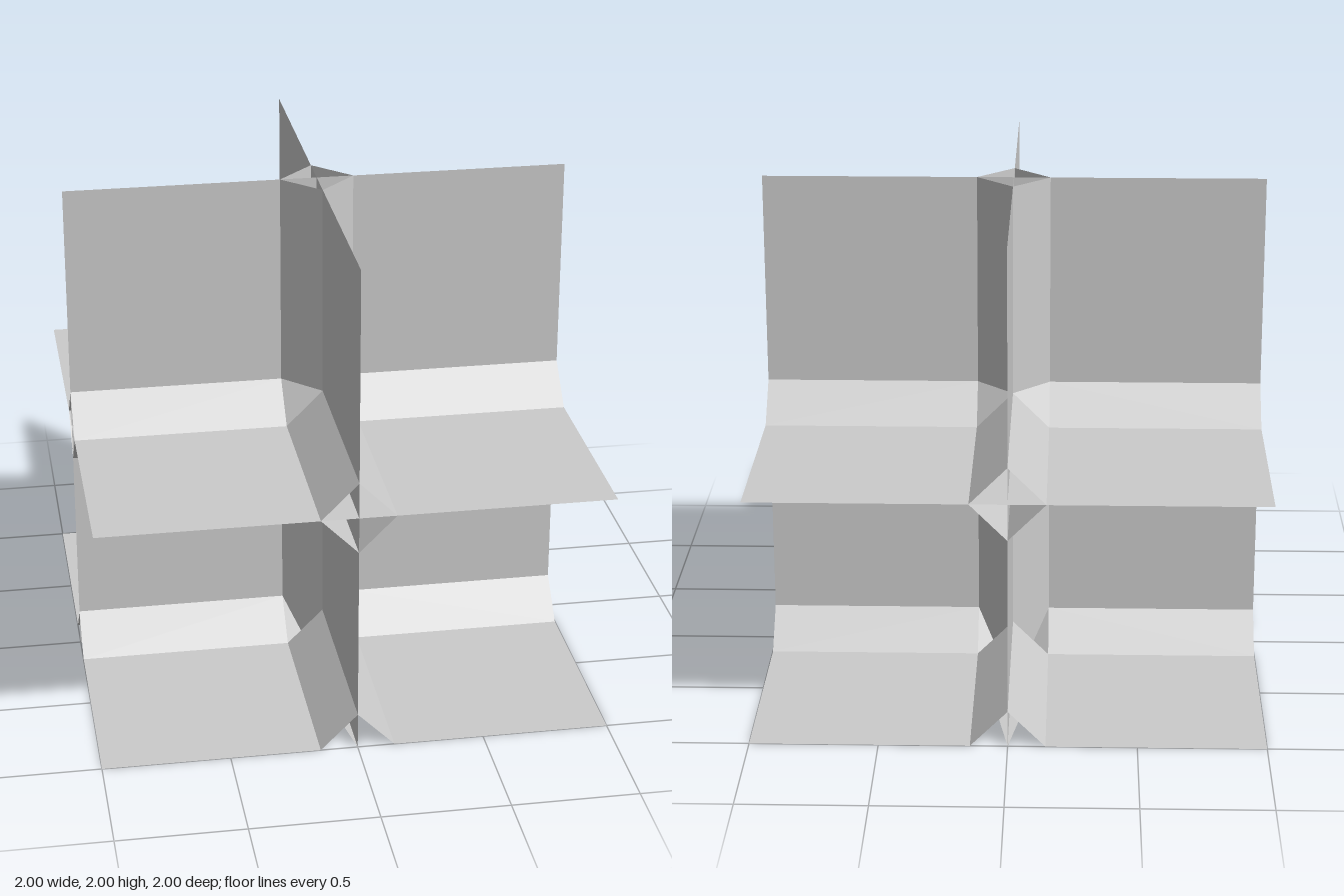
import * as THREE from 'three';

const A = 0.146; // chamfer leg length
const material = new THREE.MeshStandardMaterial({
  color: 0xcccccc, flatShading: true, side: THREE.DoubleSide,
});

// Flat polygons (triangle fans) repeated in the four quadrants around the y axis
function quadrantMesh(name, polygons) {
  const positions = [];
  for (const sx of [1, -1]) {
    for (const sz of [1, -1]) {
      for (const poly of polygons) {
        for (let i = 1; i < poly.length - 1; i++) {
          const tri = [poly[0], poly[i], poly[i + 1]];
          if (sx * sz < 0) tri.reverse(); // keep winding when mirrored
          for (const [x, y, z] of tri) positions.push(x * sx, y, z * sz);
        }
      }
    }
  }
  const geometry = new THREE.BufferGeometry();
  geometry.setAttribute('position', new THREE.Float32BufferAttribute(positions, 3));
  geometry.computeVertexNormals();
  const mesh = new THREE.Mesh(geometry, material);
  mesh.name = name;
  return mesh;
}

function squareSheet(name, rotX, rotY) {
  const mesh = new THREE.Mesh(new THREE.PlaneGeometry(2, 2), material);
  mesh.rotation.set(rotX, rotY, 0);
  mesh.position.y = 1;
  mesh.name = name;
  return mesh;
}

// Two sloping strips along the x and z axes, rising (or falling) from a floor level
const strips = (y, dir) => [
  [[A, y + dir * A, 0], [A, y, A], [1, y, A], [1, y + dir * A, 0]],
  [[0, y + dir * A, A], [0, y + dir * A, 1], [A, y, 1], [A, y, A]],
];

// Triangle closing the corner where three chamfers meet
const corner = (y, dir) => [[A, y + dir * A, 0], [0, y + dir * A, A], [A, y, A]];

export function createModel() {
  const group = new THREE.Group();

  // Three full sheets crossing at the centre
  group.add(
    squareSheet('frontFacingWall', 0, 0),
    squareSheet('sideFacingWall', 0, Math.PI / 2),
    squareSheet('middleFloor', -Math.PI / 2, 0),
  );

  // Hollow diamond beams along the three axes
  group.add(quadrantMesh('upperFloorChamfers', strips(1, 1)));
  group.add(quadrantMesh('lowerFloorChamfers', strips(1, -1)));
  group.add(quadrantMesh('uprightChamfers', [
    [[A, 1 + A, 0], [A, 2, 0], [0, 2, A], [0, 1 + A, A]],
    [[A, 0, 0], [A, 1 - A, 0], [0, 1 - A, A], [0, 0, A]],
  ]));
  group.add(quadrantMesh('innerCorners', [corner(1, 1), corner(1, -1)]));

  // Bottom floor: four squares, sloping strips and sunken corners
  const tip = [A / 2, 0, A / 2];
  group.add(quadrantMesh('bottomFloor', [[[A, 0, A], [A, 0, 1], [1, 0, 1], [1, 0, A]]]));
  group.add(quadrantMesh('bottomChamfers', strips(0, 1)));
  group.add(quadrantMesh('bottomCorners', [
    [[A, A, 0], tip, [A, 0, A]],
    [[0, A, A], [A, 0, A], tip],
  ]));

  // Four-pointed star under the crossing
  group.add(quadrantMesh('bottomStar', [
    [[0, 0, 0], [0, 0, 1], [A, 0, A], [1, 0, 0]],
  ]));

  return group;
}
